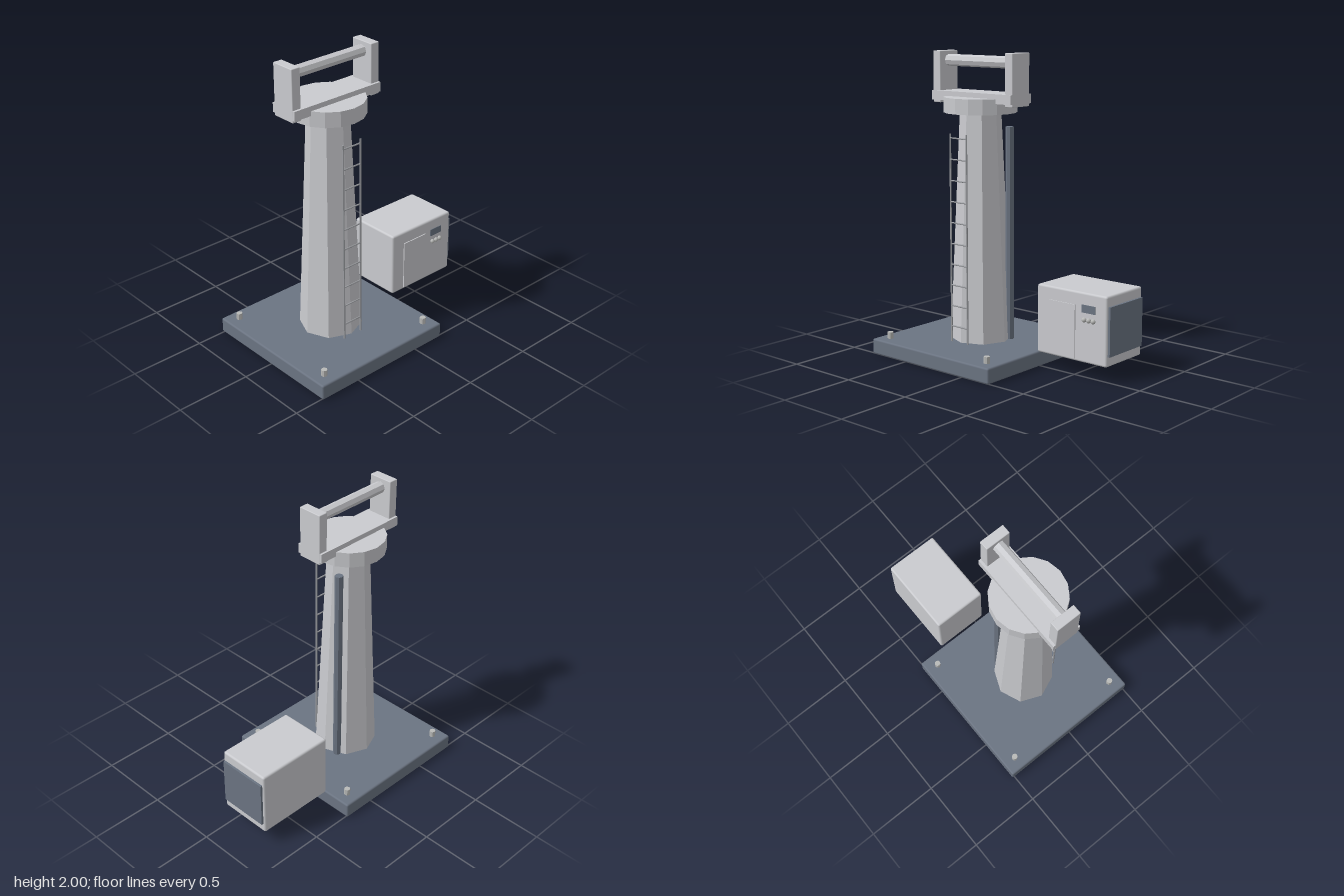
import * as THREE from 'three';
import { RoundedBoxGeometry } from 'three/addons/geometries/RoundedBoxGeometry.js';

function material(name, color) {
  const m = new THREE.MeshStandardMaterial({ color });
  m.name = name;
  return m;
}

export function createModel() {
  const light = material('light grey paint', 0xcacbcf);
  const slate = material('slate grey paint', 0x6b7482);
  const steel = material('bare steel', 0xb9bab8);
  const ladderGrey = material('ladder grey', 0x9b9da1);

  const model = new THREE.Group();
  model.name = 'pedestalWithCabinet';

  const add = (parent, name, geometry, mat, x, y, z) => {
    const mesh = new THREE.Mesh(geometry, mat);
    mesh.name = name;
    mesh.position.set(x, y, z);
    parent.add(mesh);
    return mesh;
  };
  // Box given by its limits, optionally with softened edges
  const box = (parent, name, mat, [x0, x1], [y0, y1], [z0, z1], bevel = 0) => {
    const size = [x1 - x0, y1 - y0, z1 - z0];
    const geometry = bevel ? new RoundedBoxGeometry(...size, 2, bevel) : new THREE.BoxGeometry(...size);
    return add(parent, name, geometry, mat, (x0 + x1) / 2, (y0 + y1) / 2, (z0 + z1) / 2);
  };
  // Faceted upright prism between two heights
  const prism = (parent, name, mat, rTop, rBottom, y0, y1, sides, x, z) => {
    const geometry = new THREE.CylinderGeometry(rTop, rBottom, y1 - y0, sides).toNonIndexed();
    geometry.computeVertexNormals();
    return add(parent, name, geometry, mat, x, (y0 + y1) / 2, z);
  };
  const group = (name) => {
    const g = new THREE.Group();
    g.name = name;
    model.add(g);
    return g;
  };

  const cx = -0.285; // tower axis

  // Base slab and anchor bolts
  box(model, 'baseSlab', slate, [-0.8, 0.23], [0, 0.103], [-0.515, 0.515], 0.012);
  const bolts = group('anchorBolts');
  for (const sx of [-1, 1])
    for (const sz of [-1, 1])
      prism(bolts, 'anchorBolt', steel, 0.02, 0.02, 0.09, 0.147, 8, cx + sx * 0.43, sz * 0.43);

  // Tapered octagonal column and round head plate
  prism(model, 'column', light, 0.135, 0.206, 0.09, 1.62, 8, cx, 0);
  prism(model, 'headPlate', light, 0.24, 0.24, 1.61, 1.71, 16, cx, 0);

  // Yoke with two uprights and a cross bar
  const yoke = group('yoke');
  box(yoke, 'yokePlate', light, [cx - 0.342, cx + 0.342], [1.68, 1.742], [-0.1, 0.1]);
  for (const s of [-1, 1]) {
    const x = cx + s * 0.311;
    box(yoke, 'yokeUpright', light, [x - 0.032, x + 0.032], [1.662, 2], [-0.084, 0.084], 0.005);
  }
  prism(yoke, 'crossBar', light, 0.039, 0.039, 1.651, 2.225, 8, cx, 0).rotation.z = Math.PI / 2;

  // Cable conduit beside the column
  prism(model, 'conduit', slate, 0.027, 0.027, 0.09, 1.52, 8, -0.111, -0.087);

  // Ladder
  const ladder = group('ladder');
  for (const s of [-1, 1])
    prism(ladder, 'ladderRail', ladderGrey, 0.006, 0.006, 0.1, 1.483, 6, cx + s * 0.07, 0.215);
  for (let i = 0; i < 10; i++) {
    const y = 0.21 + i * 0.1383;
    prism(ladder, 'ladderRung', ladderGrey, 0.005, 0.005, y - 0.07, y + 0.07, 6, cx, 0.215).rotation.z = Math.PI / 2;
  }

  // Control cabinet with door, display, buttons and side panel
  const cabinet = group('controlCabinet');
  box(cabinet, 'cabinetBody', light, [0.235, 0.782], [0.108, 0.556], [-0.325, 0.047], 0.014);
  box(cabinet, 'cabinetDoor', light, [0.337, 0.541], [0.125, 0.47], [0.045, 0.054]);
  box(cabinet, 'display', slate, [0.592, 0.695], [0.43, 0.48], [0.043, 0.051]);
  box(cabinet, 'sidePanel', slate, [0.776, 0.797], [0.175, 0.49], [-0.31, 0.033]);
  for (let i = 0; i < 3; i++)
    add(cabinet, 'button', new THREE.SphereGeometry(0.016, 12, 8), steel, 0.611 + i * 0.035, 0.385, 0.05);

  return model;
}
